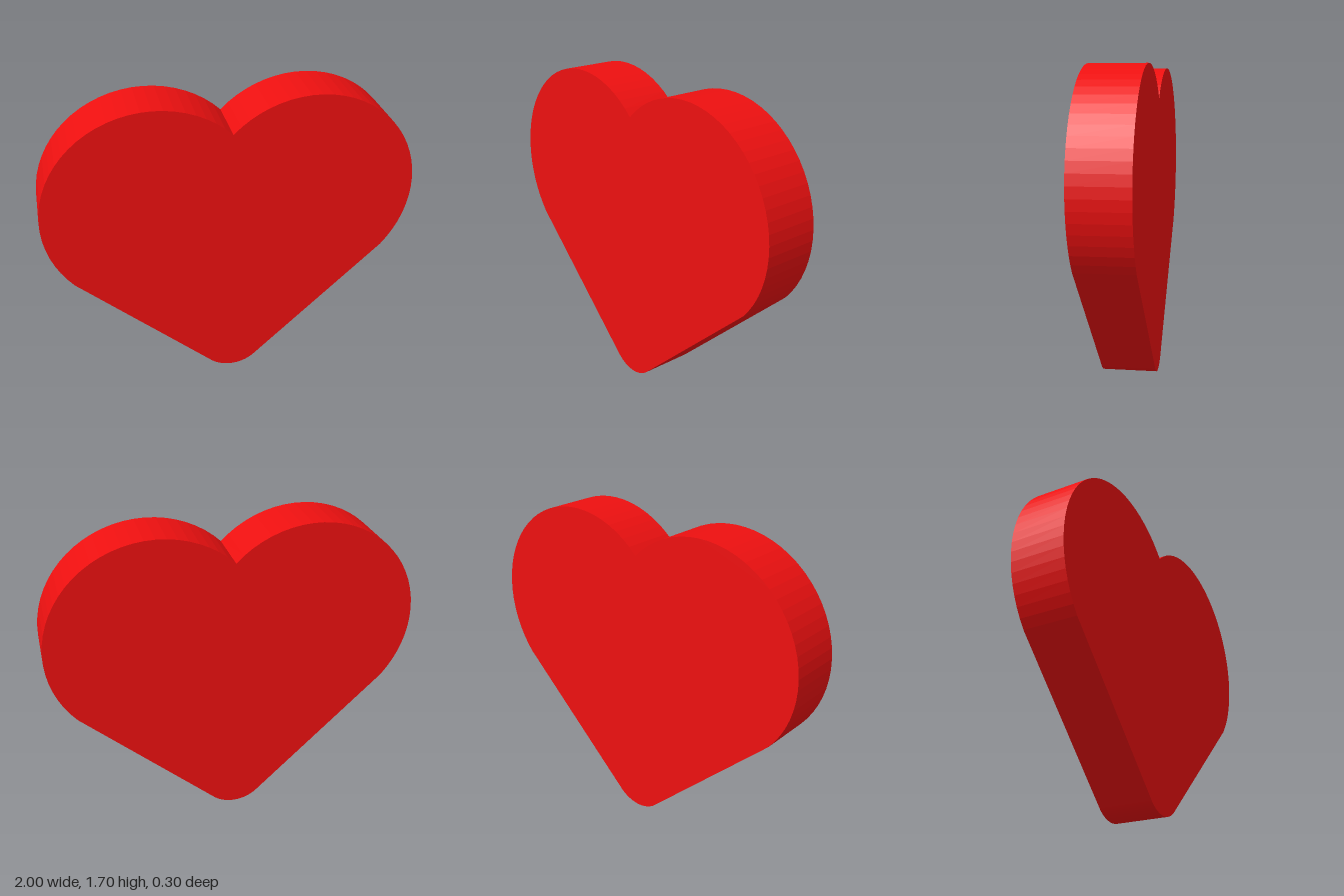
import * as THREE from 'three';

export function createModel() {
  const group = new THREE.Group();
  group.name = 'heart';

  const lobe = { x: 0.415, y: 1.115, r: 0.585 };
  const cleft = Math.acos(-lobe.x / lobe.r); // angle where the lobes meet at x = 0
  const low = -0.705;                        // angle where a lobe runs into the straight side
  const tipR = 0.19;

  // Outline, counter-clockwise: rounded tip, right lobe, left lobe
  const outline = new THREE.Shape();
  outline.absarc(0, tipR, tipR, -Math.PI * 0.75, -Math.PI * 0.25, false);
  outline.absarc(lobe.x, lobe.y, lobe.r, low, cleft, false);
  outline.absarc(-lobe.x, lobe.y, lobe.r, Math.PI - cleft, Math.PI - low, false);
  outline.closePath();

  // Flat slab centred on z = 0
  const depth = 0.3;
  const geometry = new THREE.ExtrudeGeometry(outline, { depth, bevelEnabled: false, curveSegments: 16 });
  geometry.translate(0, 0, -depth / 2);

  const body = new THREE.Mesh(geometry, new THREE.MeshStandardMaterial({ color: 0xee1010 }));
  body.name = 'heartBody';
  group.add(body);
  return group;
}
